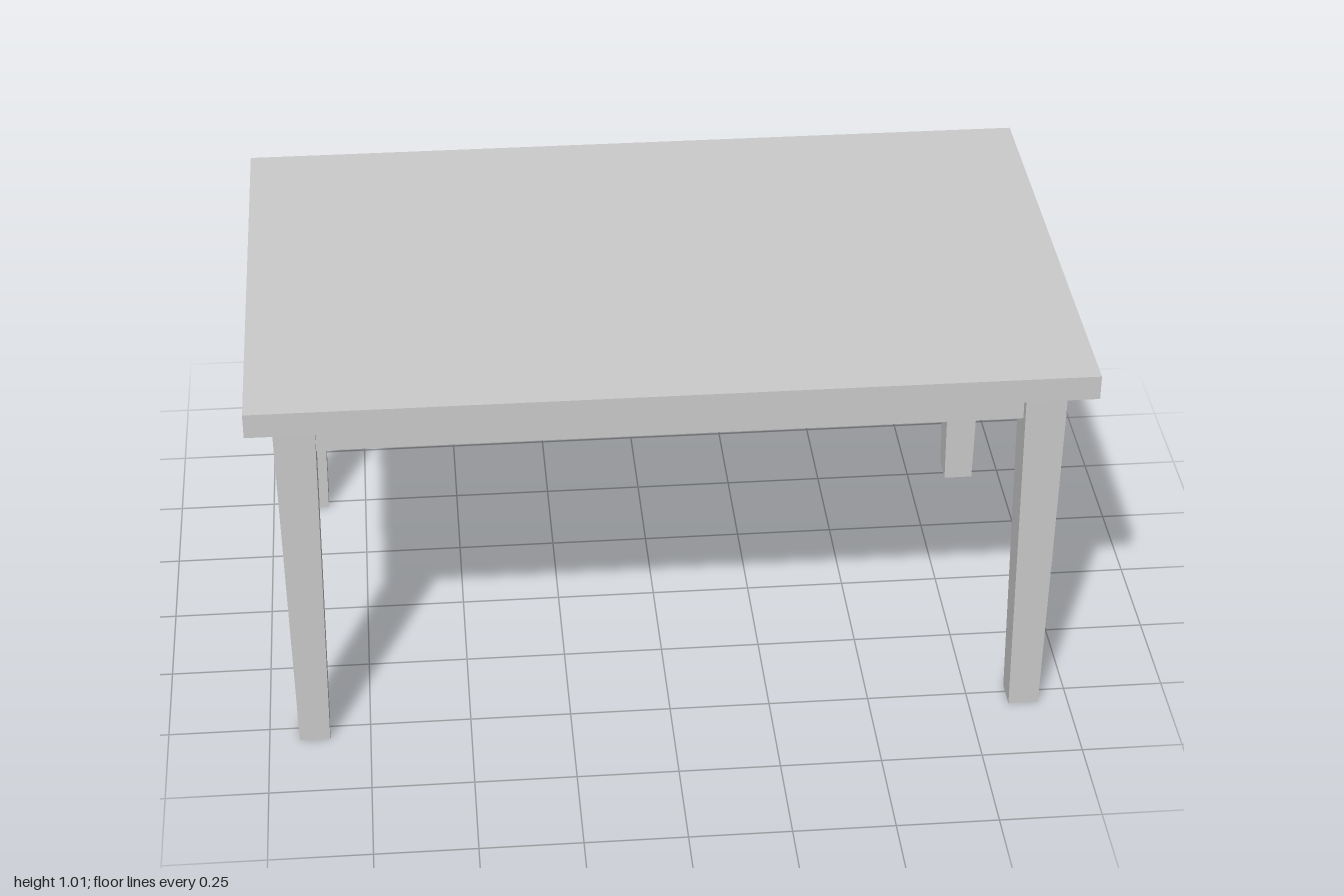
import * as THREE from 'three';

export function createModel() {
  const table = new THREE.Group();
  table.name = 'table';
  const material = new THREE.MeshStandardMaterial({ color: 0xcccccc, flatShading: true });

  const add = (name, geometry, x, y, z) => {
    const mesh = new THREE.Mesh(geometry, material);
    mesh.name = name;
    mesh.position.set(x, y, z);
    table.add(mesh);
  };

  const height = 1.008, topThickness = 0.062;
  const legHeight = height - topThickness;
  const legX = 0.888, legZ = 0.512;
  const legTop = 0.1, legFoot = 0.075;
  const apronHeight = 0.1, apronThickness = 0.05;
  const apronY = legHeight - apronHeight / 2;

  // Table top
  add('tableTop', new THREE.BoxGeometry(2, topThickness, 1.246), 0, height - topThickness / 2, 0);

  // Square leg, narrowing evenly towards the foot
  const leg = new THREE.BoxGeometry(legTop, legHeight, legTop);
  const p = leg.attributes.position;
  for (let i = 0; i < p.count; i++) {
    const s = p.getY(i) < 0 ? legFoot / legTop : 1;
    p.setX(i, p.getX(i) * s);
    p.setZ(i, p.getZ(i) * s);
  }
  leg.computeVertexNormals();

  // Aprons run between the legs, set back from the leg faces
  const longApron = new THREE.BoxGeometry(2 * legX - legTop + 0.02, apronHeight, apronThickness);
  const shortApron = new THREE.BoxGeometry(apronThickness, apronHeight, 2 * legZ - legTop + 0.02);

  for (const [sx, side] of [[1, 'Left'], [-1, 'Right']]) {
    add('apron' + side, shortApron, sx * legX, apronY, 0);
    for (const [sz, end] of [[1, 'front'], [-1, 'back']]) {
      add(end + side + 'Leg', leg, sx * legX, legHeight / 2, sz * legZ);
    }
  }
  add('apronFront', longApron, 0, apronY, legZ);
  add('apronBack', longApron, 0, apronY, -legZ);

  return table;
}
